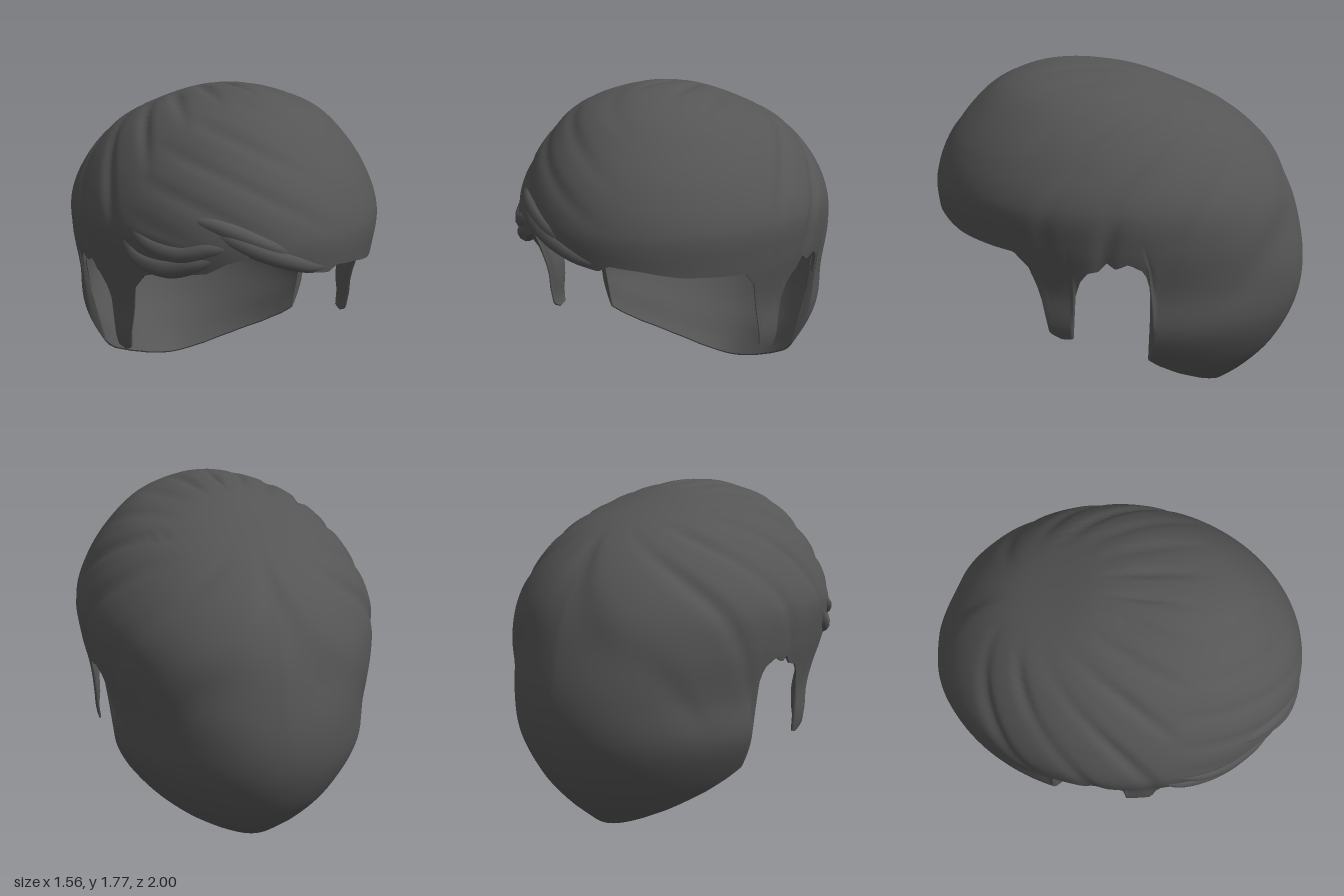
import * as THREE from 'three';

const TOP = 1.775, BAND = 1.16, COLS = 360, ROWS = 72;
const { smoothstep, lerp } = THREE.MathUtils;

// Horizontal sections of the hair volume: y, front z, back z, half width
const SECTIONS = [
  [1.775, 0.25, 0.25, 0], [1.74, 0.49, -0.06, 0.21], [1.66, 0.66, -0.29, 0.41],
  [1.53, 0.8, -0.57, 0.57], [1.35, 0.93, -0.78, 0.7], [1.15, 0.995, -0.91, 0.775],
  [0.95, 0.98, -0.975, 0.76], [0.7, 0.95, -1, 0.705], [0.48, 0.92, -0.96, 0.69],
  [0.27, 0.85, -0.855, 0.58], [0.12, 0.72, -0.72, 0.45], [0, 0.57, -0.57, 0.28],
].map(([y, f, b, w]) => [Math.sqrt(TOP - y), f, b, w]);

// Hairline height at the front, by sin of the heading
const FRINGE = [[-0.87, 0.92], [-0.8, 0.96], [-0.6, 0.99], [-0.5, 1.05], [-0.35, 1.1],
  [-0.2, 1.07], [0, 0.99], [0.15, 0.97], [0.22, 1.0], [0.4, 0.98], [0.6, 0.94], [0.87, 0.91]];
// Hairline height at sides and back, by cos of the heading: nape, ear gap, sideburn
const SIDE = [[-1, 0.01], [-0.85, 0.05], [-0.67, 0.11], [-0.44, 0.2], [-0.3, 0.27], [-0.225, 0.32],
  [-0.205, 0.78], [-0.18, 0.85], [-0.11, 0.89], [-0.04, 0.86], [0, 0.89], [0.05, 0.84],
  [0.11, 0.83], [0.16, 0.77], [0.2, 0.66], [0.205, 0.45], [0.27, 0.44], [0.34, 0.47],
  [0.38, 0.68], [0.42, 0.83], [0.5, 0.92]];

function linear(table, v) {
  if (v <= table[0][0]) return table[0][1];
  for (let i = 1; i < table.length; i++) {
    const [a, p] = table[i - 1], [b, q] = table[i];
    if (v <= b) return p + (q - p) * (v - a) / (b - a);
  }
  return table[table.length - 1][1];
}

// Smooth interpolation of one section value
function smooth(q, k) {
  const S = SECTIONS, n = S.length;
  let i = 0;
  while (i < n - 2 && q > S[i + 1][0]) i++;
  const slope = (j) => {
    const a = S[Math.max(j - 1, 0)], b = S[Math.min(j + 1, n - 1)];
    return (b[k] - a[k]) / (b[0] - a[0]);
  };
  const h = S[i + 1][0] - S[i][0], t = (q - S[i][0]) / h, u = 1 - t;
  return S[i][k] * u * u * (1 + 2 * t) + S[i + 1][k] * t * t * (3 - 2 * t)
    + h * (slope(i) * t * u * u - slope(i + 1) * t * t * u);
}

function surface(angle, y) {
  const q = Math.sqrt(Math.max(TOP - y, 0));
  const f = smooth(q, 1), b = smooth(q, 2);
  return new THREE.Vector3(smooth(q, 3) * Math.sin(angle), y, (f + b) / 2 + (f - b) / 2 * Math.cos(angle));
}

function hairline(angle) {
  const c = Math.cos(angle);
  return c > 0.5 ? linear(FRINGE, Math.sin(angle)) : linear(SIDE, c);
}

const CENTER = new THREE.Vector3(0, 0.95, 0);
const scaled = (p, s) => p.sub(CENTER).multiplyScalar(s).add(CENTER);

// Combed grooves: swept forward from the crown, diagonal over the forehead
function combed(p) {
  const dx = p.x, dz = p.z + 0.35, phi = Math.abs(Math.atan2(dx, dz));
  const far = Math.hypot(dx, dz, (TOP - p.y) * 0.8);
  const fan = Math.pow(Math.cos(7 * phi + 8 * far * Math.sin(phi)), 10);
  const fanMask = smoothstep(far, 0.25, 0.55) * (1 - smoothstep(p.z, 0.1, 0.5))
    * smoothstep(p.y, 0.45, 1.05) * (0.7 + 0.3 * Math.sin(phi * 5 + dx * 3));
  const sweep = Math.pow(Math.cos(15 * (p.y + 0.55 * p.x)), 6);
  const sweepMask = smoothstep(p.z, 0.3, 0.6) * smoothstep(-p.x, -0.3, 0.3) * smoothstep(p.y, 1.1, 1.25);
  return scaled(p, 1.003 - 0.027 * fan * fanMask - 0.01 * sweep * sweepMask);
}

// Closed ring-shaped sheet; point(column angle, row 0..1)
function sheet(rows, point, inward) {
  const pos = [], index = [];
  for (let i = 0; i <= rows; i++) {
    for (let j = 0; j < COLS; j++) pos.push(...point(j / COLS * Math.PI * 2, i / rows).toArray());
  }
  for (let i = 0; i < rows; i++) {
    for (let j = 0; j < COLS; j++) {
      const k = (j + 1) % COLS;
      const a = i * COLS + j, b = a + COLS, c = (i + 1) * COLS + k, d = i * COLS + k;
      index.push(...(inward ? [a, c, b, a, d, c] : [a, b, c, a, c, d]));
    }
  }
  const g = new THREE.BufferGeometry();
  g.setAttribute('position', new THREE.Float32BufferAttribute(pos, 3));
  g.setIndex(index);
  g.computeVertexNormals();
  return g;
}

// Tapered strand sunk into the surface through [x, y] points of the front
function lock(points, radius) {
  const curve = new THREE.CatmullRomCurve3(points.map(([x, y]) =>
    scaled(surface(Math.asin(x / 0.79), y), 0.972)));
  const n = 32, sides = 12;
  const g = new THREE.TubeGeometry(curve, n, radius, sides);
  const pos = g.attributes.position, v = new THREE.Vector3();
  for (let i = 0; i <= n; i++) {
    const c = curve.getPointAt(i / n);
    const taper = 0.15 + 0.85 * Math.sqrt(Math.sin(Math.PI * Math.min(i / n + 0.001, 0.999)));
    for (let j = 0; j <= sides; j++) {
      const k = i * (sides + 1) + j;
      v.fromBufferAttribute(pos, k).sub(c).multiplyScalar(taper).add(c);
      pos.setXYZ(k, v.x, v.y, v.z);
    }
  }
  g.computeVertexNormals();
  return g;
}

export function createModel() {
  const group = new THREE.Group();
  group.name = 'hair';
  const material = new THREE.MeshStandardMaterial({ color: 0x555555, side: THREE.DoubleSide });
  const add = (name, geometry) => {
    const mesh = new THREE.Mesh(geometry, material);
    mesh.name = name;
    group.add(mesh);
  };

  // Level rows over the dome, then rows that fan down to the hairline
  const rowHeight = (a, t) => t < 0.55
    ? TOP - (TOP - BAND) * (t / 0.55) ** 2
    : lerp(BAND, hairline(a), (t - 0.55) / 0.45);
  const outer = (a, t) => combed(surface(a, rowHeight(a, t)));
  // The thin lining follows the grooves and meets the outside at the edge
  const inner = (a, t) => {
    const edge = 1 - smoothstep(rowHeight(a, t) - hairline(a), 0, 0.15);
    const thin = 1 - smoothstep(hairline(a), 0.8, 0.95);
    return scaled(outer(a, t), lerp(0.96, 0.99, edge * lerp(0.3, 1, thin)));
  };

  add('outerHair', sheet(ROWS, outer, false));
  add('innerHair', sheet(ROWS, inner, true));
  // Edge between the two layers
  add('hairEdge', sheet(2, (a, t) => outer(a, 1).lerp(inner(a, 1), t), false));

  // Fringe strands
  add('sweptFringe', lock([[-0.5, 1.23], [-0.3, 1.14], [-0.1, 1.06], [0.06, 1.01], [0.16, 1.01]], 0.05));
  add('upperFringe', lock([[-0.6, 1.27], [-0.4, 1.22], [-0.2, 1.14], [0, 1.06]], 0.045));
  add('templeCurl', lock([[-0.74, 1.12], [-0.7, 1.02], [-0.62, 0.99], [-0.52, 1.03], [-0.42, 1.08]], 0.055));
  add('templeWave', lock([[-0.73, 1.18], [-0.66, 1.1], [-0.56, 1.08], [-0.46, 1.12], [-0.34, 1.13]], 0.05));

  return group;
}
